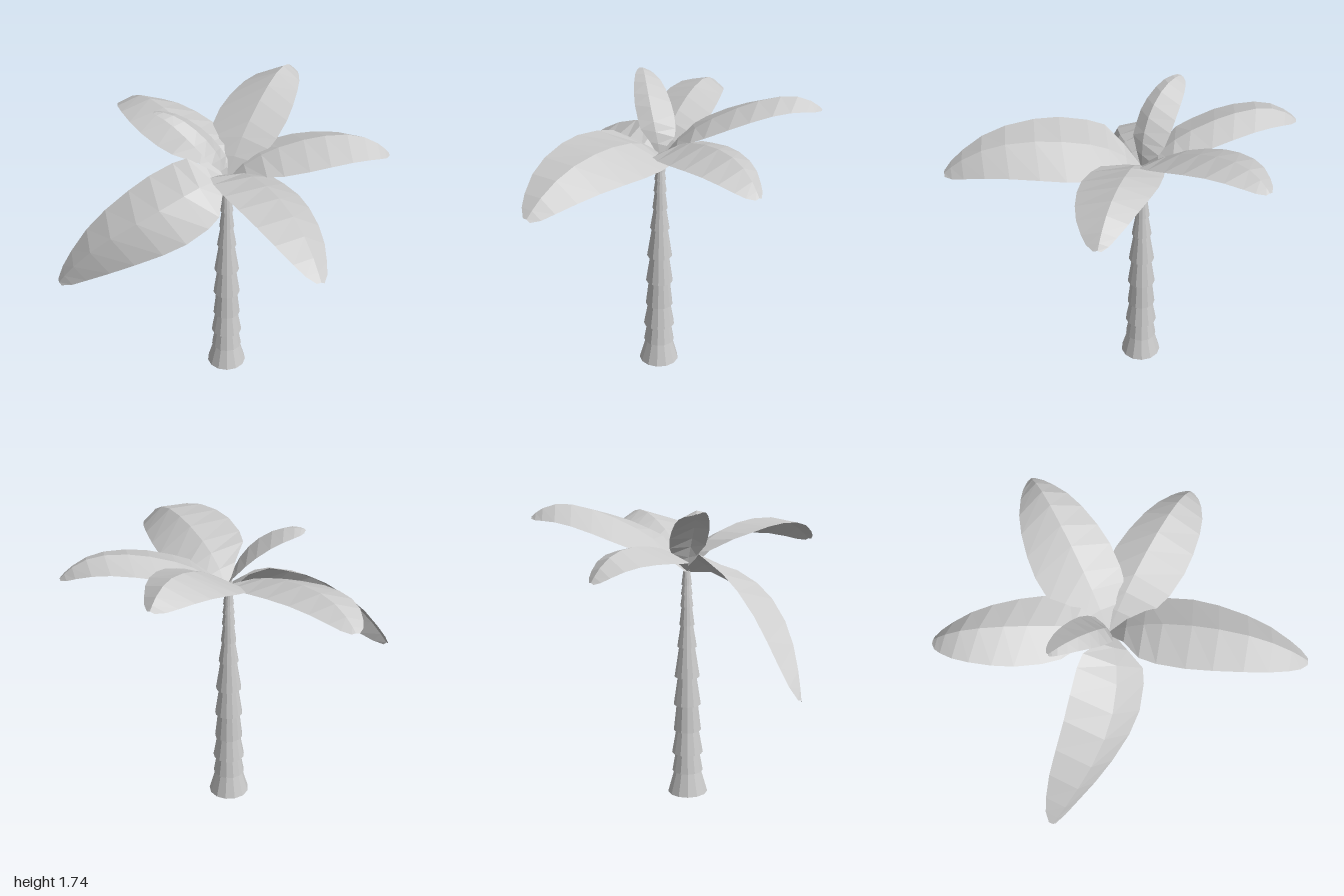
import * as THREE from 'three';

const TRUNK_X = 0.07, TRUNK_Z = -0.08;

// Stacked flared trunk rings: [bottom height, bottom radius, top radius]
const RINGS = [
  [0, 0.118, 0.08], [0.135, 0.091, 0.071], [0.25, 0.092, 0.067], [0.39, 0.081, 0.063],
  [0.55, 0.08, 0.055], [0.72, 0.074, 0.046], [0.9, 0.057, 0.036], [1.03, 0.044, 0.03],
  [1.14, 0.038, 0.027], [1.21, 0.034, 0.024], [1.265, 0.03, 0.02],
];
const TRUNK_TOP = 1.345;

// Each frond: middle of the ridge, middles of its right and left edges, and the tip
const FRONDS = [
  { name: 'frontFrond', ridge: [0.055, 1.565, 0.36], right: [-0.19, 1.57, 0.34], left: [0.26, 1.44, 0.36], tip: [-0.02, 1.39, 0.995] },
  { name: 'backFrond', ridge: [-0.02, 1.56, -0.5], right: [0.18, 1.51, -0.44], left: [-0.23, 1.5, -0.55], tip: [-0.1, 1.46, -1.0] },
  { name: 'backLeftFrond', ridge: [0.42, 1.645, -0.31], right: [0.48, 1.595, -0.11], left: [0.26, 1.55, -0.49], tip: [0.81, 1.64, -0.57] },
  { name: 'frontLeftFrond', ridge: [0.46, 1.58, 0.09], right: [0.37, 1.515, 0.3], left: [0.5, 1.52, -0.08], tip: [0.9, 1.475, 0.3] },
  { name: 'droopingFrond', ridge: [-0.39, 1.33, -0.02], right: [-0.33, 1.41, -0.25], left: [-0.3, 1.16, 0.12], tip: [-0.9, 0.84, -0.31] },
  { name: 'youngFrond', ridge: [-0.03, 1.61, -0.13], right: [0.06, 1.55, -0.235], left: [-0.12, 1.61, -0.105], tip: [-0.235, 1.735, -0.355] },
];

// Stations along a frond: [position, relative half-width, relative fold depth]
const OUTLINE = [
  [0, 0.08, 0], [0.1, 0.42, 0.1], [0.2, 0.86, 0.45], [0.3, 0.96, 0.82], [0.45, 1, 1], [0.58, 0.94, 1.05],
  [0.72, 0.81, 1], [0.83, 0.65, 0.85], [0.92, 0.44, 0.6], [0.97, 0.28, 0.35], [1, 0.1, 0.1],
];
const MIDDLE = 0.45;  // where the ridge passes through its listed middle
const SHOULDER = 1.4; // lifts the ridge on both sides of the middle

const vec = (a) => new THREE.Vector3(...a);

// Quadratic curve from a to c that passes through b at t
function curveThrough(a, b, c, t) {
  const control = b.clone()
    .addScaledVector(a, -((1 - t) ** 2))
    .addScaledVector(c, -t * t)
    .divideScalar(2 * t * (1 - t));
  return new THREE.QuadraticBezierCurve3(a, control, c);
}

// Folded leaf: right edge, ridge and left edge at each station
function frondGeometry({ ridge, right, left, tip }) {
  const base = new THREE.Vector3(TRUNK_X, TRUNK_TOP, TRUNK_Z);
  const mid = vec(ridge), end = vec(tip);
  const curve = curveThrough(base, mid, end, MIDDLE);
  const lift = SHOULDER * base.distanceTo(end);
  const span = vec(right).sub(vec(left)).multiplyScalar(0.5);
  const fold = vec(right).add(vec(left)).multiplyScalar(0.5).sub(mid);
  const positions = [], index = [];
  OUTLINE.forEach(([t, width, depth], i) => {
    const p = curve.getPoint(t);
    p.y += lift * t * (1 - t) * (t - MIDDLE) ** 2;
    for (const side of [1, 0, -1]) {
      const q = p.clone().addScaledVector(span, side * width).addScaledVector(fold, Math.abs(side) * depth);
      positions.push(q.x, q.y, q.z);
    }
    if (i === 0) return;
    for (let j = 0; j < 2; j++) {
      const a = (i - 1) * 3 + j, b = a + 3;
      index.push(a, b, a + 1, a + 1, b, b + 1);
    }
  });
  const geometry = new THREE.BufferGeometry();
  geometry.setAttribute('position', new THREE.Float32BufferAttribute(positions, 3));
  geometry.setIndex(index);
  geometry.computeVertexNormals();
  return geometry;
}

export function createModel() {
  const model = new THREE.Group();
  model.name = 'palmTree';
  const bark = new THREE.MeshStandardMaterial({ color: 0xcccccc, flatShading: true });
  const leaf = new THREE.MeshStandardMaterial({ color: 0xcccccc, flatShading: true, side: THREE.DoubleSide });

  // Trunk
  const trunk = new THREE.Group();
  trunk.name = 'trunk';
  trunk.position.set(TRUNK_X, 0, TRUNK_Z);
  RINGS.forEach(([y, bottom, top], i) => {
    const end = i + 1 < RINGS.length ? RINGS[i + 1][0] : TRUNK_TOP;
    const ring = new THREE.Mesh(new THREE.CylinderGeometry(top, bottom, end - y, 13), bark);
    ring.name = 'trunkRing';
    ring.position.y = (y + end) / 2;
    trunk.add(ring);
  });
  model.add(trunk);

  // Crown of fronds
  const crown = new THREE.Group();
  crown.name = 'crown';
  for (const frond of FRONDS) {
    const mesh = new THREE.Mesh(frondGeometry(frond), leaf);
    mesh.name = frond.name;
    crown.add(mesh);
  }
  model.add(crown);
  return model;
}
